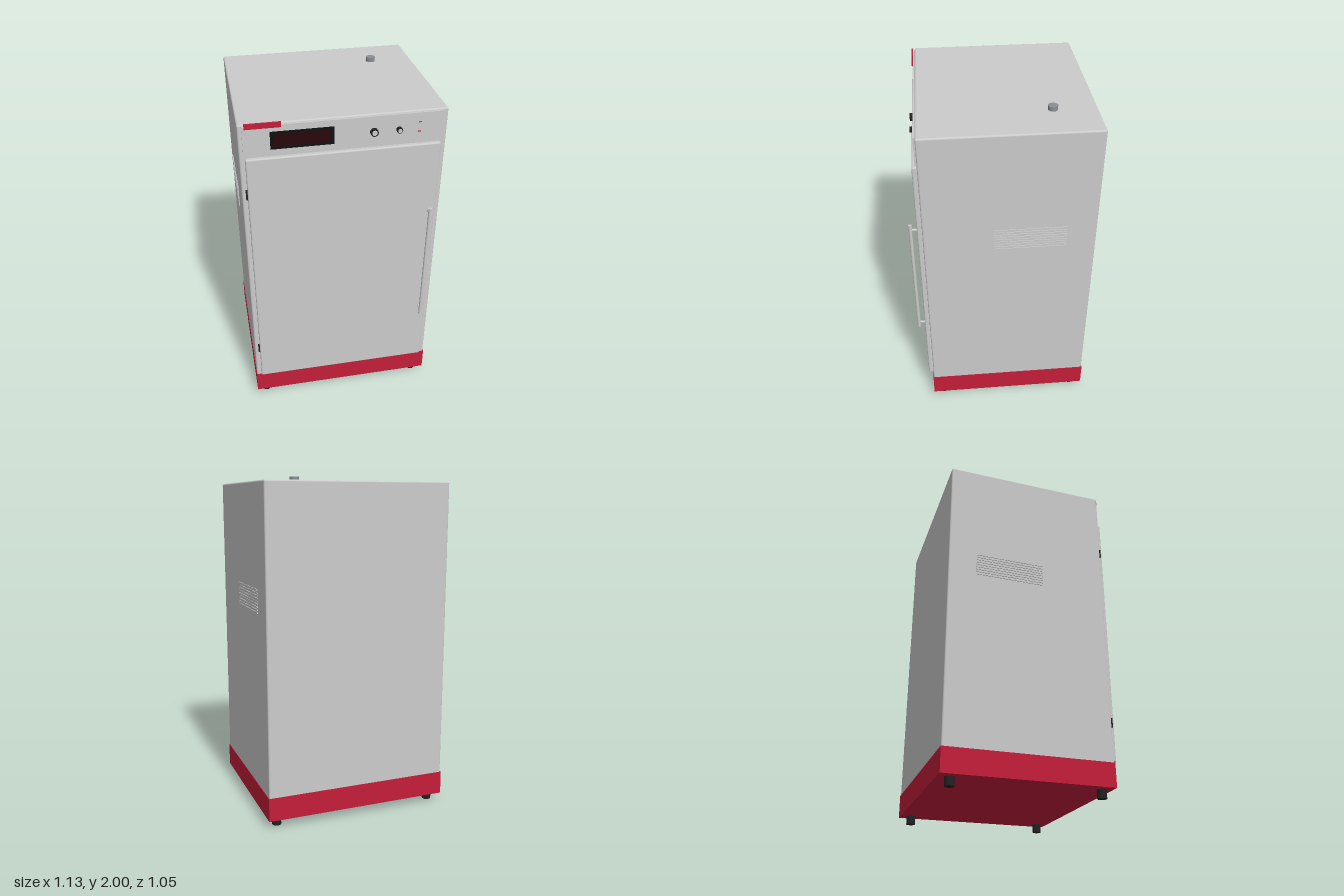
import * as THREE from 'three';
import { RoundedBoxGeometry } from 'three/addons/geometries/RoundedBoxGeometry.js';

const mat = (color) => new THREE.MeshStandardMaterial({ color });

export function createModel() {
  const model = new THREE.Group();
  const grey = mat(0xcccccc), red = mat(0xc41e3a), black = mat(0x222222);
  const glass = mat(0x111111), screen = mat(0x2a070c), steel = mat(0x8a9095);

  const add = (name, geometry, material, x, y, z) => {
    const mesh = new THREE.Mesh(geometry, material);
    mesh.name = name;
    mesh.position.set(x, y, z);
    model.add(mesh);
    return mesh;
  };
  // Box given by its limits on each axis, optionally with rounded edges
  const box = (name, material, [x0, x1], [y0, y1], [z0, z1], r = 0) => {
    const size = [x1 - x0, y1 - y0, z1 - z0];
    const geometry = r ? new RoundedBoxGeometry(...size, 3, r) : new THREE.BoxGeometry(...size);
    return add(name, geometry, material, (x0 + x1) / 2, (y0 + y1) / 2, (z0 + z1) / 2);
  };
  const rod = (name, material, r, length, x, y, z, alongZ = false) => {
    const mesh = add(name, new THREE.CylinderGeometry(r, r, length, 24), material, x, y, z);
    if (alongZ) mesh.rotation.x = Math.PI / 2;
    return mesh;
  };

  // Cabinet and plinth
  box('cabinet', grey, [-0.56, 0.56], [0.17, 1.975], [-0.523, 0.448], 0.01);
  box('plinth', red, [-0.563, 0.563], [0.05, 0.19], [-0.526, 0.451]);

  // Feet
  for (const x of [-0.5, 0.5])
    for (const z of [-0.46, 0.39]) rod('foot', black, 0.027, 0.05, x, 0.025, z);

  // Door with hinges
  box('door', grey, [-0.53, 0.525], [0.205, 1.787], [0.446, 0.477], 0.008);
  for (const y of [0.43, 1.565])
    box('hinge', black, [-0.539, -0.527], [y - 0.028, y + 0.028], [0.447, 0.465]);

  // Door handle on two posts
  rod('handleBar', grey, 0.01, 0.79, 0.487, 0.995, 0.514);
  for (const y of [0.635, 1.357]) rod('handlePost', grey, 0.007, 0.04, 0.487, y, 0.494, true);

  // Control panel with display
  box('controlPanel', grey, [-0.537, 0.53], [1.803, 1.966], [0.445, 0.459]);
  box('displayFrame', glass, [-0.395, -0.06], [1.83, 1.93], [0.455, 0.463]);
  box('displayScreen', screen, [-0.375, -0.08], [1.845, 1.915], [0.46, 0.4645]);
  box('nameplate', red, [-0.525, -0.335], [1.955, 1.985], [0.458, 0.466]);

  // Knobs with pale caps
  for (const [x, r] of [[0.153, 0.021], [0.29, 0.016]]) {
    rod('knob', black, r, 0.024, x, 1.88, 0.468, true);
    rod('knobCap', grey, r * 0.7, 0.003, x, 1.88, 0.481, true);
  }

  // Indicator lamps
  for (const [y, color] of [[1.914, 0x18a050], [1.859, 0xc02020]])
    box('indicatorLamp', mat(color), [0.395, 0.411], [y - 0.003, y + 0.003], [0.457, 0.462]);

  // Side ventilation slats
  for (const side of [-1, 1])
    for (let i = 0; i < 9; i++)
      add('ventSlat', new THREE.BoxGeometry(0.008, 0.008, 0.41), grey, side * 0.56, 1.243 + i * 0.0163, -0.151);

  // Exhaust port on the roof
  rod('exhaustPort', steel, 0.027, 0.03, 0.312, 1.985, -0.281);

  return model;
}
